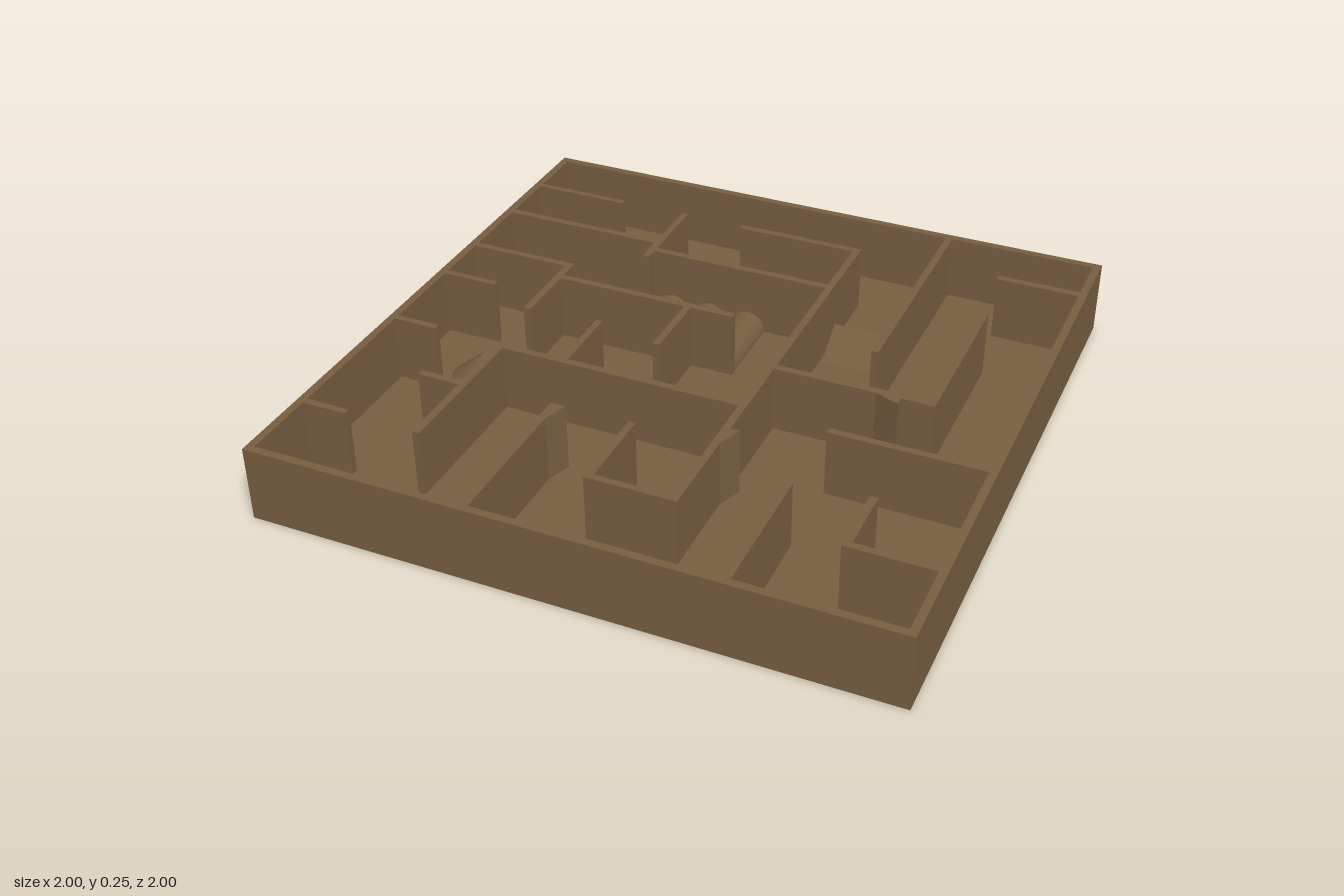
import * as THREE from 'three';

const HEIGHT = 0.245, FLOOR = 0.025, RIM = 0.025;

// Extrude a plan outline of [x, z] points upward from y0 to y1
function prism(points, y0, y1, hole) {
  const shape = new THREE.Shape(points.map(([x, z]) => new THREE.Vector2(x, -z)));
  if (hole) shape.holes.push(hole);
  const geo = new THREE.ExtrudeGeometry(shape, { depth: y1 - y0, bevelEnabled: false, curveSegments: 24 });
  return geo.rotateX(-Math.PI / 2).translate(0, y0, 0);
}

const rect = (x0, x1, z0, z1) => [[x0, z1], [x1, z1], [x1, z0], [x0, z0]];

// Inner walls as x0, x1, z0, z1
const WALLS = [
  [-0.98, -0.65, -0.783, -0.763], [-0.427, -0.405, -0.78, -0.455],
  [-0.98, -0.427, -0.573, -0.549], [-0.2, 0.232, -0.784, -0.76],
  [0.208, 0.232, -0.78, 0.733], [-0.405, 0.208, -0.522, -0.498],
  [-0.98, -0.61, -0.314, -0.291], [-0.634, -0.61, -0.314, 0],
  [-0.61, 0, -0.235, -0.212], [-0.167, -0.144, -0.212, 0.03],
  [-0.98, -0.79, -0.111, -0.089], [-0.98, -0.83, 0.199, 0.221],
  [-0.388, -0.366, -0.025, 0.215], [-0.604, 0.208, 0.214, 0.238],
  [-0.604, -0.579, 0.214, 0.733], [-0.743, -0.604, 0.444, 0.467],
  [-0.98, -0.83, 0.711, 0.733], [-0.305, -0.282, 0.444, 0.98],
  [-0.054, -0.031, 0.44, 0.733], [-0.054, 0.232, 0.711, 0.733],
  [0.468, 0.492, 0.53, 0.98], [0.706, 0.73, 0.5, 0.733],
  [0.706, 0.98, 0.709, 0.733], [0.492, 0.98, 0.241, 0.264],
  [0.232, 0.74, -0.01, 0.014], [0.717, 0.74, -0.55, 0.016],
  [0.469, 0.492, -0.98, -0.198], [0.703, 0.98, -0.8, -0.775],
];

// Triangular barbs on wall ends
const BARBS = [
  [[-0.284, 0.444], [-0.284, 0.527], [-0.255, 0.444]],
  [[0.23, 0.355], [0.23, 0.44], [0.262, 0.355]],
  [[0.55, 0.012], [0.635, 0.045], [0.635, 0.012]],
];

// Half-round floor bumps as centre x, radius, z0, z1
const BUMPS = [
  [-0.112, 0.059, -0.978, -0.78], [-0.337, 0.063, -0.5, -0.23],
  [-0.203, 0.063, -0.5, -0.23], [-0.065, 0.063, -0.5, -0.23],
];

export function createModel() {
  const model = new THREE.Group();
  model.name = 'mazeTray';
  const wood = new THREE.MeshStandardMaterial({ color: 0x765d40 });
  wood.name = 'brown wood';
  const add = (name, geo, parent = model) => {
    const mesh = new THREE.Mesh(geo, wood);
    mesh.name = name;
    parent.add(mesh);
    return mesh;
  };
  const group = (name) => {
    const g = new THREE.Group();
    g.name = name;
    model.add(g);
    return g;
  };

  // Floor with the round goal hole
  const hole = new THREE.Path().absarc(-0.853, 0.433, 0.094, 0, Math.PI * 2, true);
  add('floor', prism(rect(-1, 1, -1, 1), 0, FLOOR, hole));

  // Outer frame
  const inner = 1 - RIM;
  const opening = new THREE.Path(rect(-inner, inner, -inner, inner).map(([x, z]) => new THREE.Vector2(x, -z)));
  add('outerFrame', prism(rect(-1, 1, -1, 1), FLOOR, HEIGHT, opening));

  // Maze walls and barbs
  const walls = group('mazeWalls');
  WALLS.forEach(([x0, x1, z0, z1]) => {
    const geo = new THREE.BoxGeometry(x1 - x0, HEIGHT - FLOOR, z1 - z0);
    add('wall', geo.translate((x0 + x1) / 2, (HEIGHT + FLOOR) / 2, (z0 + z1) / 2), walls);
  });
  BARBS.forEach((points) => add('wallBarb', prism(points, FLOOR, HEIGHT), walls));

  // Half-round bumps
  const bumps = group('floorBumps');
  BUMPS.forEach(([x, r, z0, z1]) => {
    const geo = new THREE.CylinderGeometry(r, r, z1 - z0, 32, 1, false, Math.PI / 2, Math.PI);
    add('bump', geo.rotateX(Math.PI / 2).translate(x, FLOOR, (z0 + z1) / 2), bumps);
  });

  // Cone obstacle
  const cone = new THREE.ConeGeometry(0.118, 0.1, 24).toNonIndexed();
  cone.computeVertexNormals();
  add('cone', cone.translate(-0.72, FLOOR + 0.05, 0.11));

  // Two-sided ramp with its ridge along x
  const profile = new THREE.Shape([[-0.115, 0], [0.115, 0], [0, 0.08]].map(([a, b]) => new THREE.Vector2(a, b)));
  const ramp = new THREE.ExtrudeGeometry(profile, { depth: 0.225, bevelEnabled: false });
  add('ramp', ramp.rotateY(Math.PI / 2).translate(0.24, FLOOR, -0.515));

  return model;
}
